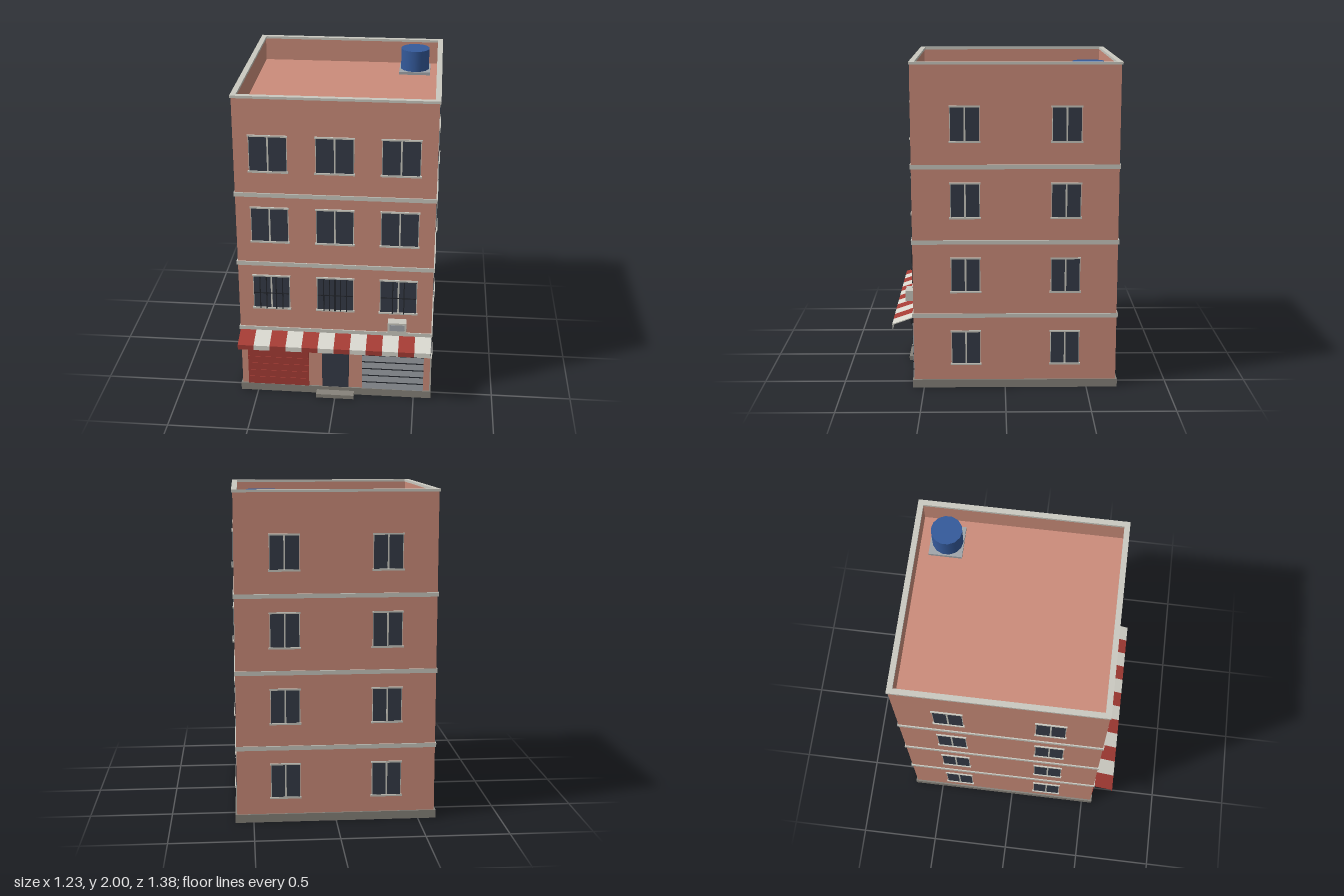
import * as THREE from 'three';

const mat = (name, color, side = THREE.FrontSide) => {
  const m = new THREE.MeshStandardMaterial({ color, side });
  m.name = name;
  return m;
};

export function createModel() {
  const wall = mat('terracotta wall', 0xcb8c7a);
  const trim = mat('pale trim', 0xcac9c0);
  const stone = mat('base stone', 0x86827a);
  const glass = mat('dark glass', 0x353b47);
  const red = mat('red', 0xa53c35);
  const cream = mat('awning cream', 0xd8d7ce);
  const steel = mat('steel grey', 0xa0a5aa);
  const blue = mat('tank blue', 0x345a9b);
  const iron = mat('black iron', 0x23262c);

  const model = new THREE.Group();
  model.name = 'apartmentBuilding';

  // Box given by its limits on each axis
  const box = (name, m, x0, x1, y0, y1, z0, z1, parent = model) => {
    const mesh = new THREE.Mesh(new THREE.BoxGeometry(x1 - x0, y1 - y0, z1 - z0), m);
    mesh.position.set((x0 + x1) / 2, (y0 + y1) / 2, (z0 + z1) / 2);
    mesh.name = name;
    parent.add(mesh);
    return mesh;
  };

  const W = 0.6, F = 0.56, B = -0.68, ROOF = 1.84;

  // Walls, base and floor bands
  box('plinth', stone, -0.61, 0.61, 0, 0.05, -0.69, 0.57);
  box('walls', wall, -W, W, 0.05, ROOF, B, F);
  for (const y of [0.46, 0.92, 1.38])
    box('floorBand', trim, -0.607, 0.607, y - 0.012, y + 0.014, -0.687, 0.567);

  // Rectangular ring for the parapet and its coping
  const ring = (name, m, x, z0, z1, t, y0, y1) => {
    const g = new THREE.Group();
    g.name = name;
    box(name + 'Front', m, -x, x, y0, y1, z1 - t, z1, g);
    box(name + 'Back', m, -x, x, y0, y1, z0, z0 + t, g);
    for (const s of [-1, 1])
      box(name + 'Side', m, s * x - (s > 0 ? t : 0), s * x + (s < 0 ? t : 0), y0, y1, z0 + t, z1 - t, g);
    model.add(g);
  };
  ring('parapet', wall, W, B, F, 0.022, ROOF, 1.985);
  ring('coping', trim, 0.607, -0.688, 0.565, 0.033, 1.985, 2);

  // Window facing +z with its wall plane at z = 0
  const makeWindow = (w, h) => {
    const g = new THREE.Group();
    g.name = 'window';
    box('frame', trim, -w / 2 - 0.004, w / 2 + 0.004, 0, h, -0.002, 0.003, g);
    box('pane', glass, -w / 2, w / 2, 0.006, h - 0.006, 0, 0.006, g);
    box('mullion', trim, -0.005, 0.005, 0, h, 0, 0.008, g);
    box('lintel', trim, -w / 2 - 0.008, w / 2 + 0.008, h - 0.007, h + 0.003, 0, 0.009, g);
    box('sill', trim, -w / 2 - 0.01, w / 2 + 0.01, -0.004, 0.007, 0, 0.013, g);
    return g;
  };
  const place = (w, h, x, y, z, turn) => {
    const g = makeWindow(w, h);
    g.position.set(x, y, z);
    g.rotation.y = turn;
    model.add(g);
    return g;
  };

  for (let floor = 0; floor < 4; floor++) {
    const y = 0.15 + floor * 0.46;
    for (const z of [0.24, -0.365])
      for (const s of [-1, 1]) place(0.17, 0.213, s * W, y, z, s * Math.PI / 2);
    for (const x of [-0.305, 0.305]) place(0.17, 0.213, x, y, B, Math.PI);
    if (floor === 0) continue;
    [-0.395, 0, 0.39].forEach((x, i) => {
      const win = place(0.22, 0.228, x, y + 0.002, F, 0);
      if (floor > 1) return;
      // Iron grilles on the first upper floor
      const bars = [[-0.07, -0.03, 0.03, 0.07], [-0.07, -0.035, 0, 0.035, 0.07], [-0.035, 0.035]][i];
      for (const b of bars) box('grilleBar', iron, b - 0.003, b + 0.003, 0.002, 0.222, 0.012, 0.017, win);
      if (i === 1) box('grilleCenterBar', iron, -0.006, 0.006, 0.004, 0.222, 0.009, 0.016, win);
      box('grilleRail', iron, -0.11, 0.11, 0.108, 0.114, 0.011, 0.016, win);
    });
  }

  // Shop shutters with slats
  const shutter = (name, x0, x1, m, slat) => {
    box(name, m, x0, x1, 0.05, 0.4, F - 0.01, 0.568);
    for (let i = 1; i <= 6; i++)
      box(name + 'Slat', slat, x0, x1, 0.048 + i * 0.05, 0.054 + i * 0.05, F, 0.571);
    box(name + 'Housing', iron, x0, x1, 0.395, 0.43, F, 0.58);
  };
  shutter('redShutter', -0.56, -0.17, red, red);
  shutter('steelShutter', 0.17, 0.56, steel, iron);

  // Entrance
  box('door', glass, -0.085, 0.085, 0.05, 0.4, F - 0.01, 0.566);
  box('doorStep', stone, -0.12, 0.12, 0, 0.026, 0.56, 0.625);

  // Striped awning: sloping sheet with a hanging valance
  const profile = new THREE.Shape([
    [0.56, 0.447], [0.56, 0.453], [0.69, 0.408], [0.69, 0.376], [0.685, 0.376], [0.685, 0.403],
  ].map(([z, y]) => new THREE.Vector2(-z, y)));
  const stripe = new THREE.ExtrudeGeometry(profile, { depth: 0.1, bevelEnabled: false });
  stripe.rotateY(Math.PI / 2);
  for (let i = 0; i < 12; i++) {
    const mesh = new THREE.Mesh(stripe, i % 2 ? cream : red);
    mesh.name = 'awningStripe';
    mesh.position.x = -0.6 + i * 0.1;
    model.add(mesh);
  }

  // Air conditioner
  box('airConditioner', trim, 0.33, 0.445, 0.505, 0.57, F, 0.618);
  box('airConditionerGrille', steel, 0.342, 0.433, 0.517, 0.558, 0.617, 0.62);

  // Roof water tank on its pad
  box('tankPad', steel, 0.33, 0.53, ROOF, 1.858, -0.6, -0.4);
  const tank = new THREE.Mesh(new THREE.CylinderGeometry(0.093, 0.093, 0.134, 14), blue);
  tank.name = 'waterTank';
  tank.position.set(0.43, 1.925, -0.497);
  model.add(tank);

  return model;
}
